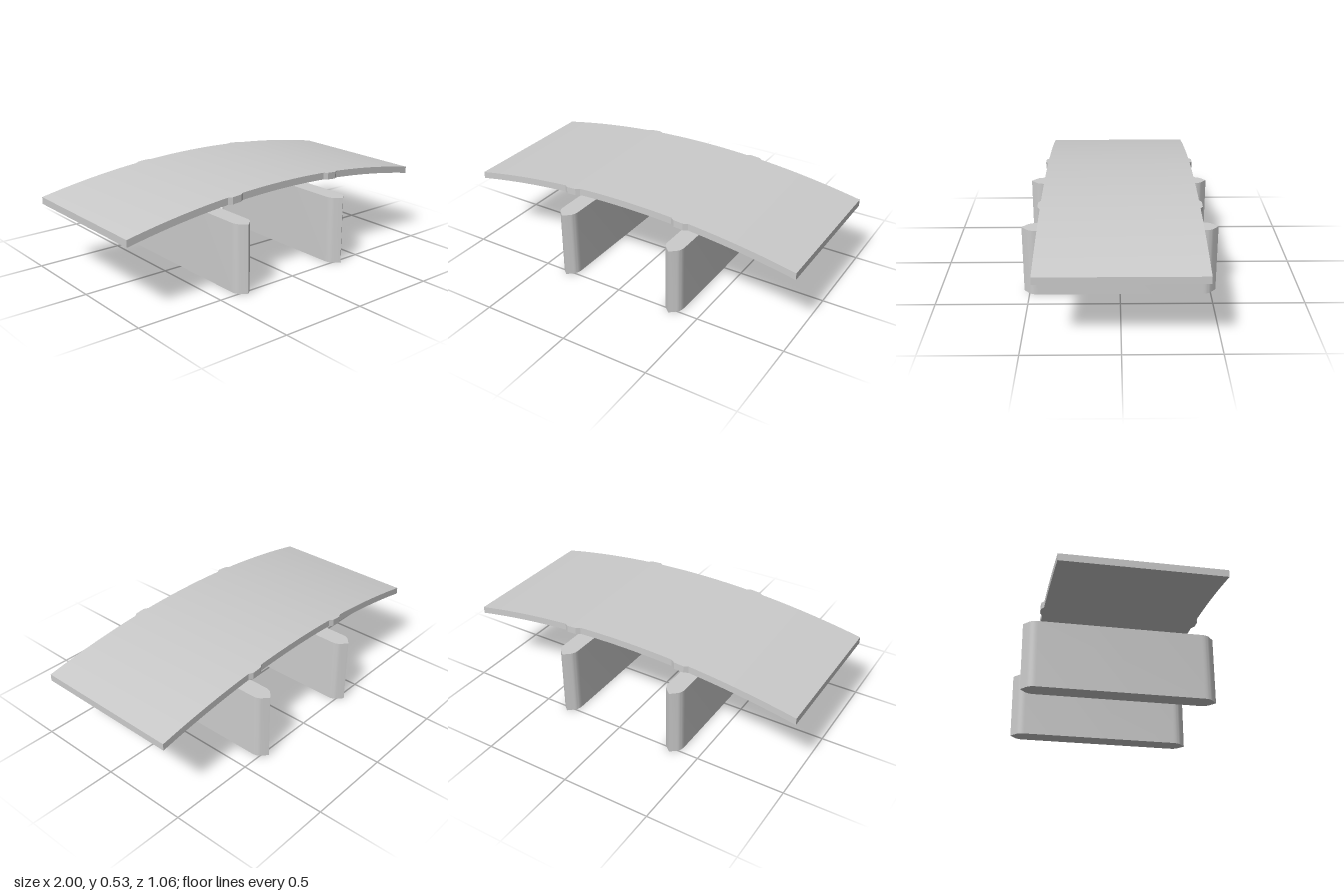
import * as THREE from 'three';
import { toCreasedNormals } from 'three/addons/utils/BufferGeometryUtils.js';

const PIER_X = 0.342;

// Half width of the deck along x: constant, with a small bulge over each pier
function halfWidth(x) {
  const d = Math.abs(Math.abs(x) - PIER_X);
  return 0.425 + 0.014 * THREE.MathUtils.clamp((0.05 - d) / 0.022, 0, 1);
}

// Arched slab lofted from rectangular sections along x
function deckGeometry() {
  const stations = [];
  for (let i = 0; i <= 32; i++) stations.push(-1 + i / 16);
  for (const s of [-1, 1]) {
    for (const d of [-0.05, -0.028, 0.028, 0.05]) stations.push(s * PIER_X + d);
  }
  stations.sort((a, b) => a - b);

  const positions = [], index = [];
  for (const x of stations) {
    const top = 0.527 - 0.1 * x * x, bottom = top - 0.039, w = halfWidth(x);
    positions.push(x, top, w, x, top, -w, x, bottom, -w, x, bottom, w);
  }
  for (let i = 0; i < stations.length - 1; i++) {
    for (let j = 0; j < 4; j++) {
      const a = i * 4 + j, b = i * 4 + (j + 1) % 4;
      index.push(a, a + 4, b, b, a + 4, b + 4);
    }
  }
  const e = (stations.length - 1) * 4;
  index.push(0, 1, 2, 0, 2, 3, e, e + 2, e + 1, e, e + 3, e + 2);

  const geometry = new THREE.BufferGeometry();
  geometry.setAttribute('position', new THREE.Float32BufferAttribute(positions, 3));
  geometry.setIndex(index);
  return toCreasedNormals(geometry, 0.3);
}

// Wall pier with pointed ends and rounded shoulders
function pierGeometry() {
  const w = 0.051, tip = 0.532;
  const shape = new THREE.Shape();
  shape.moveTo(w, -0.455);
  shape.lineTo(w, 0.455);
  shape.quadraticCurveTo(w, 0.485, 0.034, 0.502);
  shape.lineTo(0, tip);
  shape.lineTo(-0.034, 0.502);
  shape.quadraticCurveTo(-w, 0.485, -w, 0.455);
  shape.lineTo(-w, -0.455);
  shape.quadraticCurveTo(-w, -0.485, -0.034, -0.502);
  shape.lineTo(0, -tip);
  shape.lineTo(0.034, -0.502);
  shape.quadraticCurveTo(w, -0.485, w, -0.455);
  const geometry = new THREE.ExtrudeGeometry(shape, {
    depth: 0.386, bevelEnabled: false, curveSegments: 6,
  });
  geometry.rotateX(-Math.PI / 2);
  return toCreasedNormals(geometry, 0.6);
}

export function createModel() {
  const group = new THREE.Group();
  const material = new THREE.MeshStandardMaterial({ color: 0xcccccc });

  // Arched deck
  const deck = new THREE.Mesh(deckGeometry(), material);
  deck.name = 'deck';
  group.add(deck);

  // Two piers below the deck
  const geometry = pierGeometry();
  for (const [name, side] of [['leftPier', 1], ['rightPier', -1]]) {
    const pier = new THREE.Mesh(geometry, material);
    pier.name = name;
    pier.position.x = side * PIER_X;
    group.add(pier);
  }
  return group;
}
